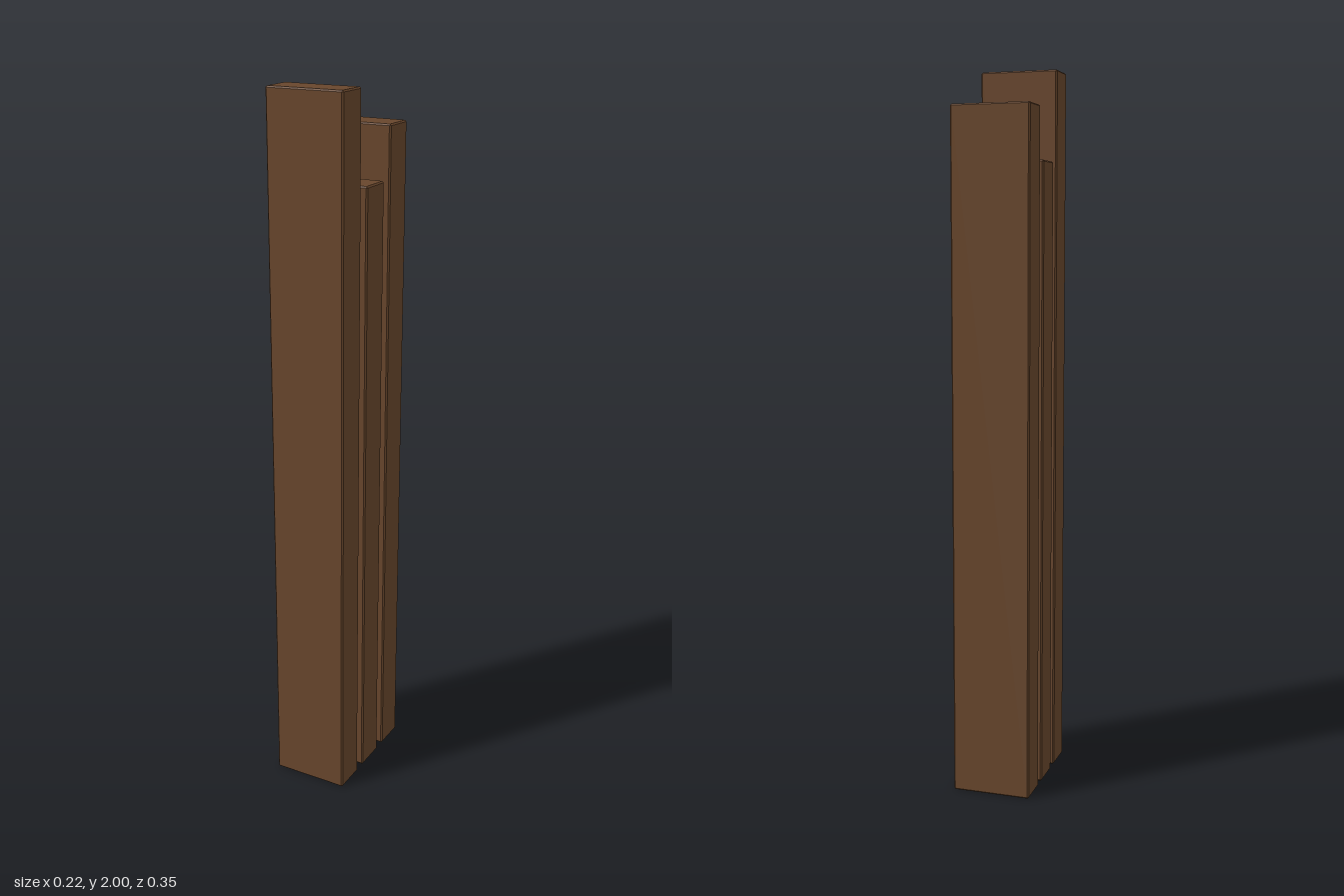
import * as THREE from 'three';
import { ConvexGeometry } from 'three/addons/geometries/ConvexGeometry.js';

// Box with every edge cut by a small flat chamfer, standing on y = 0
function chamferedBox(width, height, depth, chamfer) {
  const half = [width / 2, height / 2, depth / 2];
  const points = [];
  for (const sx of [-1, 1]) for (const sy of [-1, 1]) for (const sz of [-1, 1]) {
    // Three points per corner, one lying on each adjoining face
    for (let face = 0; face < 3; face++) {
      const [x, y, z] = half.map((h, axis) => (axis === face ? h : h - chamfer));
      points.push(new THREE.Vector3(sx * x, sy * y, sz * z));
    }
  }
  return new ConvexGeometry(points).translate(0, height / 2, 0);
}

export function createModel() {
  const model = new THREE.Group();
  model.name = 'uprightPlanks';

  const wood = new THREE.MeshStandardMaterial({ color: 0x68462c, flatShading: true });
  wood.name = 'dark brown wood';

  // Three parallel planks of different heights
  const planks = [
    { name: 'frontPlank', height: 2, z: 0.128 },
    { name: 'middlePlank', height: 1.75, z: 0 },
    { name: 'backPlank', height: 1.89, z: -0.128 },
  ];
  for (const { name, height, z } of planks) {
    const plank = new THREE.Mesh(chamferedBox(0.22, height, 0.096, 0.004), wood);
    plank.name = name;
    plank.position.z = z;
    model.add(plank);
  }
  return model;
}
